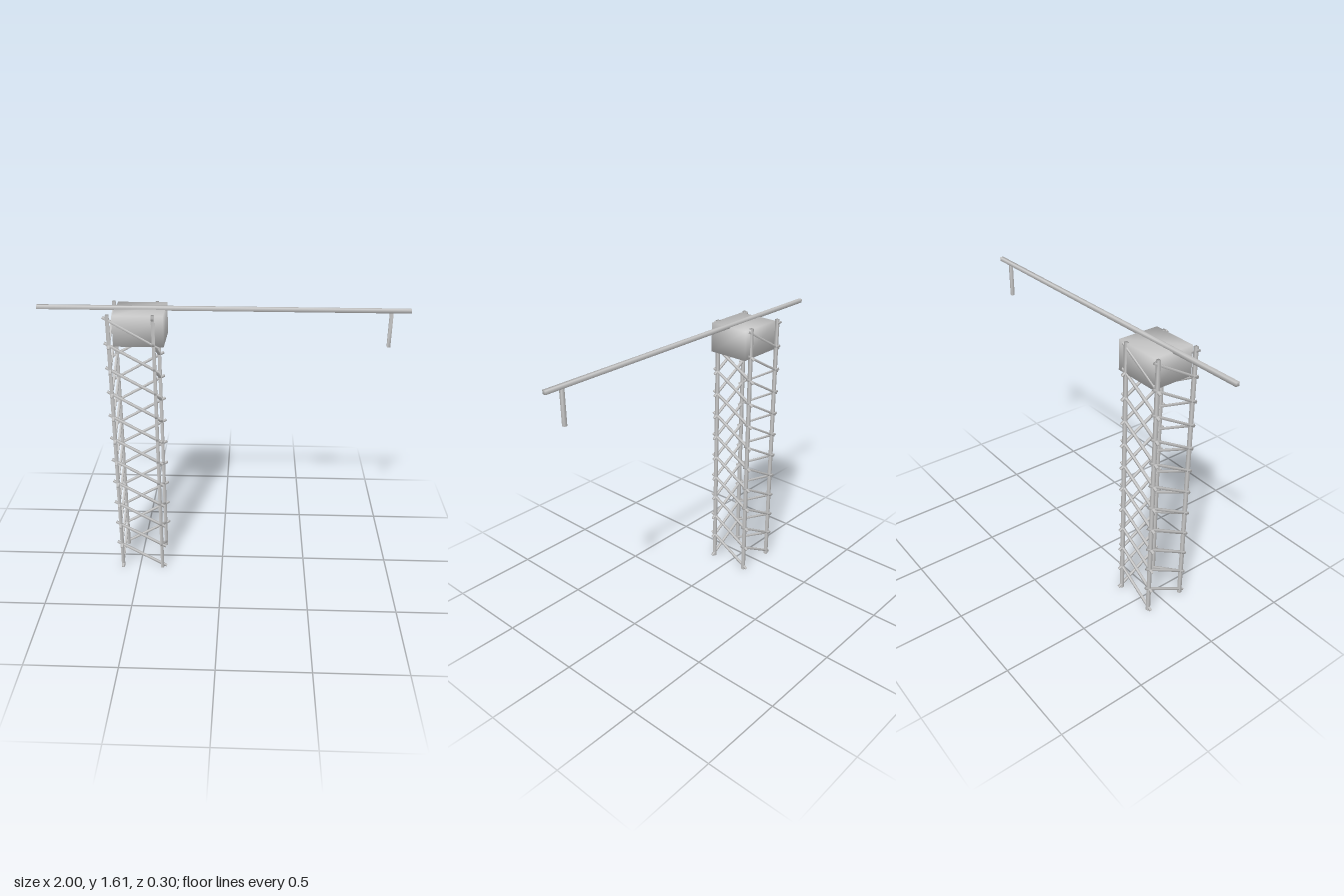
import * as THREE from 'three';
import { mergeVertices } from 'three/addons/utils/BufferGeometryUtils.js';

const material = new THREE.MeshStandardMaterial({ color: 0xcccccc });

// Box whose corners share one averaged normal, for soft shading
function softBox(w, h, d) {
  const box = new THREE.BoxGeometry(w, h, d);
  box.deleteAttribute('normal');
  box.deleteAttribute('uv');
  const geometry = mergeVertices(box);
  geometry.computeVertexNormals();
  return geometry;
}

function addPart(parent, name, geometry, x, y, z) {
  const mesh = new THREE.Mesh(geometry, material);
  mesh.name = name;
  mesh.position.set(x, y, z);
  parent.add(mesh);
  return mesh;
}

export function createModel() {
  const model = new THREE.Group();
  model.name = 'towerCrane';

  const half = 0.12; // half the leg spacing
  const towerX = -0.482;
  const levels = 11;
  const pitch = 0.141;

  // Lattice tower: each side is the same, turned by a quarter
  const tower = new THREE.Group();
  tower.name = 'tower';
  tower.position.x = towerX;
  model.add(tower);

  const legGeometry = softBox(0.018, 1.6, 0.018);
  const braceGeometry = softBox(0.335, 0.0125, 0.0125);
  for (let i = 0; i < 4; i++) {
    const side = new THREE.Group();
    side.name = 'towerSide';
    side.rotation.y = (i * Math.PI) / 2;
    tower.add(side);
    addPart(side, 'leg', legGeometry, half, 0.8, half);
    // One slanting brace per level, its ends reaching past the legs
    for (let k = 0; k < levels; k++) {
      const brace = addPart(side, 'brace', braceGeometry, 0, 0.094 + k * pitch, half);
      brace.rotation.z = -Math.PI / 6;
    }
  }

  // Cabin at the tower head
  addPart(model, 'cabin', softBox(0.27, 0.17, 0.245), -0.443, 1.512, 0);

  // Long horizontal jib with a hanging hook bar near its end
  addPart(model, 'jib', softBox(2, 0.021, 0.021), 0, 1.603, 0);
  addPart(model, 'hookBar', softBox(0.018, 0.2, 0.018), 0.897, 1.502, 0);

  return model;
}
